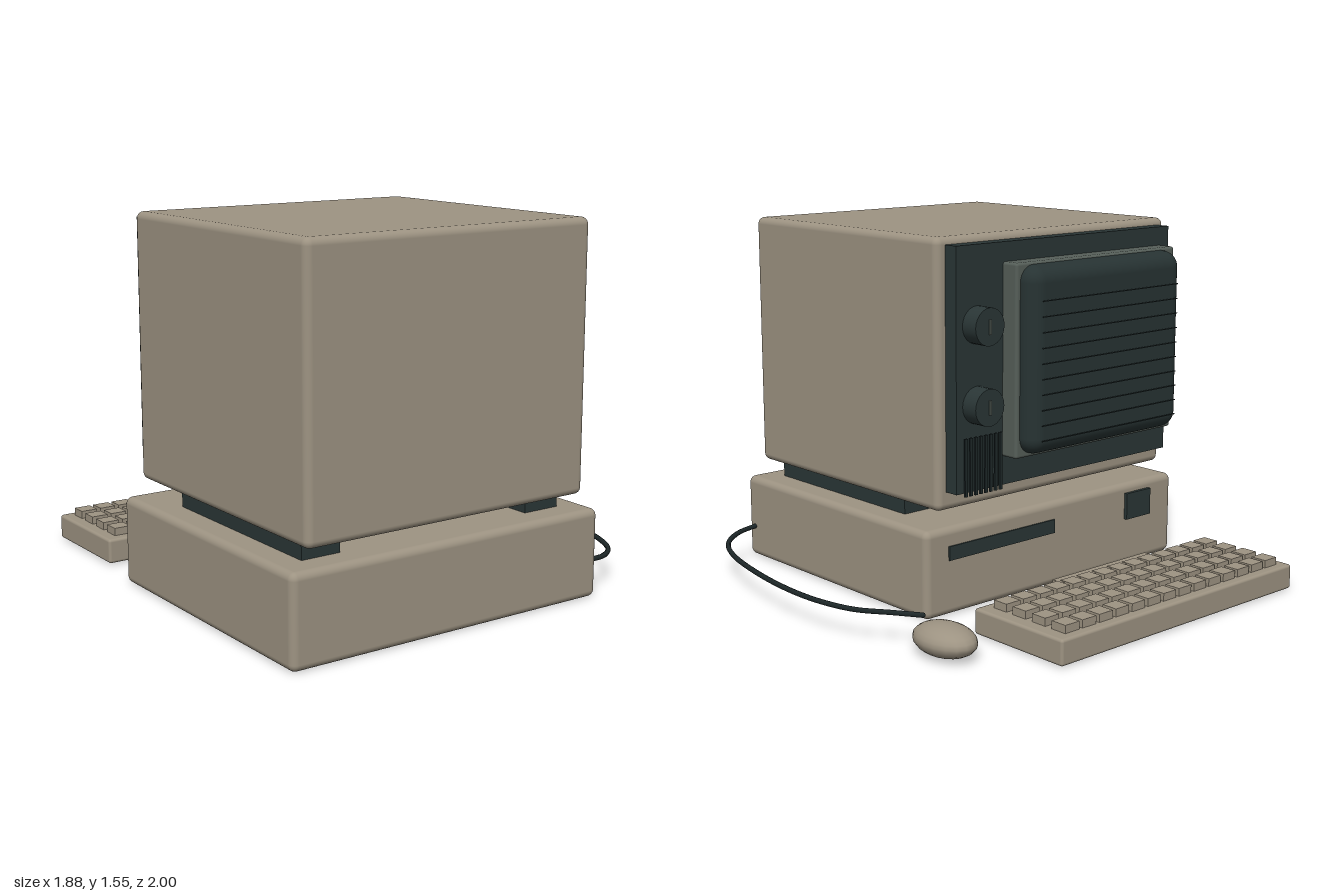
import * as THREE from 'three';
import { RoundedBoxGeometry } from 'three/addons/geometries/RoundedBoxGeometry.js';

const mat = (name, color) => {
  const m = new THREE.MeshStandardMaterial({ color });
  m.name = name;
  return m;
};

export function createModel() {
  const beige = mat('beige plastic', 0x9d9382);
  const dark = mat('dark trim', 0x2a3636);
  const grey = mat('grey green', 0x565f59);
  const glass = mat('screen glass', 0x273333);
  const black = mat('black rubber', 0x1e2829);

  const model = new THREE.Group();
  model.name = 'desktopComputer';
  const group = (name) => {
    const g = new THREE.Group();
    g.name = name;
    model.add(g);
    return g;
  };
  const add = (parent, name, geometry, material) => {
    const mesh = new THREE.Mesh(geometry, material);
    mesh.name = name;
    parent.add(mesh);
    return mesh;
  };
  // Box given by its extents; a radius rounds the edges
  const box = (parent, name, material, x0, x1, y0, y1, z0, z1, radius = 0) => {
    const size = [x1 - x0, y1 - y0, z1 - z0];
    const geo = radius ? new RoundedBoxGeometry(...size, 4, radius) : new THREE.BoxGeometry(...size);
    const mesh = add(parent, name, geo, material);
    mesh.position.set((x0 + x1) / 2, (y0 + y1) / 2, (z0 + z1) / 2);
    return mesh;
  };

  // System unit with disk slot and power switch on the screen side
  const unit = group('systemUnit');
  box(unit, 'unitCase', beige, -0.94, 0.54, 0, 0.372, -0.27, 1, 0.03);
  box(unit, 'diskSlot', dark, -0.18, 0.42, 0.235, 0.295, -0.277, -0.26);
  box(unit, 'powerSwitch', dark, -0.78, -0.625, 0.21, 0.33, -0.286, -0.26);

  // Monitor on two support rails
  const monitor = group('monitor');
  box(monitor, 'railRight', dark, -0.82, -0.65, 0.36, 0.45, 0.01, 0.88);
  box(monitor, 'railLeft', dark, 0.25, 0.42, 0.36, 0.45, 0.01, 0.88);
  box(monitor, 'monitorCase', beige, -0.865, 0.465, 0.44, 1.55, -0.255, 0.985, 0.03);
  box(monitor, 'bezel', dark, -0.82, 0.42, 0.52, 1.52, -0.32, -0.24);
  box(monitor, 'screenFrame', grey, -0.77, 0.17, 0.64, 1.44, -0.4, -0.31, 0.012);
  box(monitor, 'screen', glass, -0.75, 0.15, 0.655, 1.43, -0.475, -0.33, 0.07);
  for (let i = 0; i < 10; i++) {
    const y = 0.72 + i * 0.0635;
    box(monitor, 'scanLine', glass, -0.7, 0.105, y - 0.002, y + 0.002, -0.488, -0.484);
  }

  // Control knobs with pointer marks
  for (const y of [0.875, 1.2]) {
    const knob = add(monitor, 'knob', new THREE.CylinderGeometry(0.077, 0.077, 0.08, 24), dark);
    knob.rotation.x = Math.PI / 2;
    knob.position.set(0.31, y, -0.358);
    box(monitor, 'knobMark', grey, 0.304, 0.316, y - 0.03, y + 0.03, -0.403, -0.396);
  }

  // Speaker grille of upright slats
  for (let i = 0; i < 8; i++) {
    const x = 0.198 + i * 0.027;
    box(monitor, 'grilleSlat', black, x - 0.007, x + 0.007, 0.51, 0.75, -0.343, -0.335);
  }

  // Keyboard: four rows of fourteen keys and a space bar
  const keyboard = group('keyboard');
  box(keyboard, 'keyboardCase', beige, -0.895, 0.495, 0.005, 0.112, -1, -0.51, 0.012);
  for (let row = 0; row < 4; row++) {
    for (let col = 0; col < 14; col++) {
      const x = -0.805 + col * 0.0925, z = -0.92 + row * 0.1085;
      box(keyboard, 'key', beige, x - 0.0375, x + 0.0375, 0.1, 0.145, z - 0.0365, z + 0.0365);
    }
  }
  box(keyboard, 'spaceBar', beige, -0.48, 0.08, 0.1, 0.142, -0.582, -0.527);

  // Mouse and its cable, which plugs into the side of the system unit
  const mouse = group('mouse');
  const body = add(mouse, 'mouseBody', new THREE.SphereGeometry(1, 18, 12), beige);
  body.scale.set(0.106, 0.065, 0.15);
  body.position.set(0.73, 0.068, -0.605);
  const path = new THREE.CatmullRomCurve3([
    [0.53, 0.142, 0.95], [0.64, 0.135, 0.93], [0.75, 0.128, 0.85], [0.83, 0.125, 0.7],
    [0.9, 0.124, 0.4], [0.93, 0.125, 0.1], [0.92, 0.127, -0.1], [0.88, 0.128, -0.25],
    [0.8, 0.129, -0.37], [0.73, 0.129, -0.475],
  ].map((p) => new THREE.Vector3(...p)));
  add(mouse, 'cable', new THREE.TubeGeometry(path, 48, 0.011, 8), black);
  for (const p of [path.getPoint(0), path.getPoint(1)]) {
    add(mouse, 'cableEnd', new THREE.SphereGeometry(0.011, 8, 6), black).position.copy(p);
  }

  return model;
}
